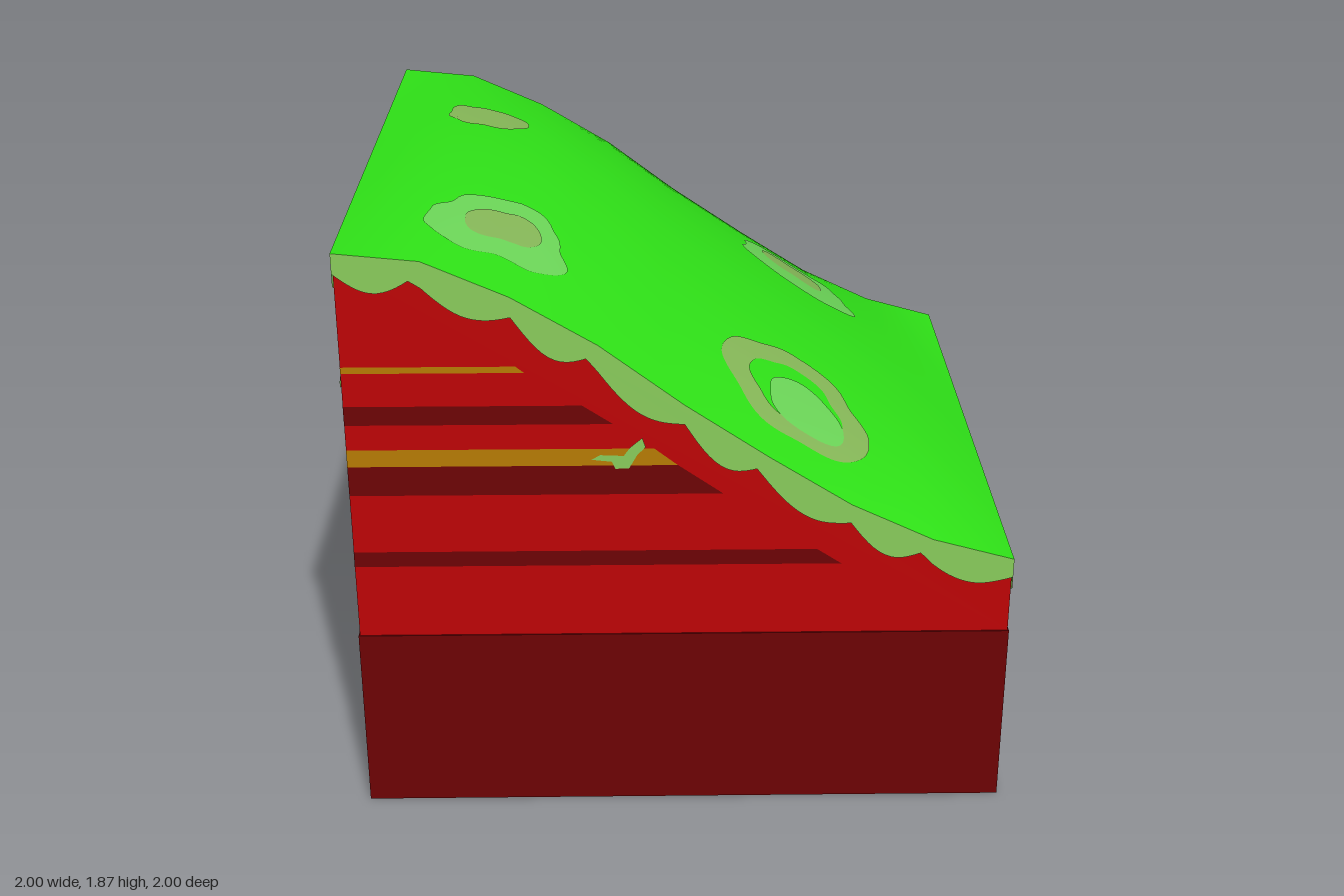
import * as THREE from 'three';

const mat = (name, color, side = THREE.FrontSide) => {
  const m = new THREE.MeshStandardMaterial({ color, side });
  m.name = name;
  return m;
};

// Heights every 0.25 along x: the rim at z = +-1, and the extra bulge at z = 0
const RIM = [1.845, 1.82, 1.71, 1.56, 1.37, 1.2, 1.04, 0.92, 0.85];
const BULGE = [0, 0.05, 0.1, 0.14, 0.17, 0.17, 0.16, 0.11, 0];
const sample = (list, x) => {
  const u = THREE.MathUtils.clamp((x + 1) * 4, 0, 8);
  const i = Math.min(7, Math.floor(u));
  return THREE.MathUtils.lerp(list[i], list[i + 1], u - i);
};
const rim = (x) => sample(RIM, x);
const height = (x, z) => rim(x) + sample(BULGE, x) * (1 - z * z);

// Smooth surface normal of the hill
function hillNormal(x, z) {
  const x0 = Math.max(-1, x - 0.2), x1 = Math.min(1, x + 0.2);
  const dx = (height(x1, z) - height(x0, z)) / (x1 - x0);
  const dz = -2 * z * sample(BULGE, x);
  return new THREE.Vector3(-dx, 1, -dz).normalize();
}

// Drapes a flat geometry (already lying in xz) over the hill
function drape(geo, lift) {
  const p = geo.attributes.position, n = geo.attributes.normal;
  for (let i = 0; i < p.count; i++) {
    const x = p.getX(i), z = p.getZ(i);
    p.setY(i, height(x, z) + lift);
    const v = hillNormal(x, z);
    n.setXYZ(i, v.x, v.y, v.z);
  }
  return geo;
}

export function createModel() {
  const root = new THREE.Group();
  root.name = 'hillBlock';
  const grass = mat('grass green', 0x2fe217);
  const red = mat('red earth', 0xbf0305);
  const dark = mat('dark red earth', 0x6e0204);
  const under = mat('underside red', 0xa80202);
  const fringe = mat('pale grass fringe', 0x8ace5c, THREE.DoubleSide);
  const gold = mat('gold seam', 0xb87c02);
  const pale = mat('pale patch', 0x6cd658);
  const brown = mat('olive patch', 0x86b858);

  const add = (name, geo, material) => {
    const m = new THREE.Mesh(geo, material);
    m.name = name;
    root.add(m);
    return m;
  };

  // Earth body: dark base with a redder underside, and red slope profile
  const H = 0.996;
  add('base', new THREE.BoxGeometry(2, 0.6, 2).translate(0, 0.3, 0),
    [dark, dark, dark, under, dark, dark]);
  const profile = new THREE.Shape();
  profile.moveTo(H, 0.6);
  for (let i = 8; i >= 0; i--) profile.lineTo((i / 4 - 1) * H, RIM[i] - 0.03);
  profile.lineTo(-H, 0.6);
  const body = new THREE.ExtrudeGeometry(profile, { depth: 2 * H, bevelEnabled: false });
  add('slopeBody', body.translate(0, 0, -H), red);

  // Grass surface
  const top = new THREE.PlaneGeometry(2, 2, 32, 32).rotateX(-Math.PI / 2);
  add('grassTop', drape(top, 0), grass);

  // Thin plate on a side: 0 front, 1 right, 2 back, 3 left
  const plate = (name, points, face, dist, material) => {
    const shape = new THREE.Shape(points.map(([s, y]) => new THREE.Vector2(s, y)));
    const m = add(name, new THREE.ShapeGeometry(shape).translate(0, 0, dist), material);
    m.rotation.y = face * Math.PI / 2;
  };

  // Scalloped fringe under the rim on all four sides
  const edges = [rim, () => RIM[8], (s) => rim(-s), () => RIM[0]];
  edges.forEach((edge, face) => {
    const upper = [], lower = [];
    for (let i = 0; i <= 112; i++) {
      const s = i / 56 - 1;
      const u = (s + 2) % 0.5;
      const t = u < 0.215 ? u / 0.215 : (u - 0.215) / 0.285;
      const slope = Math.abs(edge(Math.min(1, s + 0.1)) - edge(Math.max(-1, s - 0.1))) / 0.2;
      const d = face % 2 ? 0.1 : 0.062;
      const lobe = 0.046 + 0.025 * slope;
      upper.push([s, edge(s)]);
      lower.unshift([s, edge(s) - d - lobe * Math.sin(Math.PI * t)]);
    }
    plate('grassFringe', [...upper, ...lower], face, 1, fringe);
  });

  // Earth layers: bottom, top, end at bottom, end at top
  const layers = [
    [1.475, 1.495, -0.465, -0.49, gold],
    [1.31, 1.37, -0.21, -0.3, dark],
    [1.175, 1.23, -0.02, -0.09, gold],
    [1.08, 1.175, 0.115, -0.02, dark],
    [0.84, 0.89, 0.475, 0.4, dark],
  ];
  for (const [y0, y1, e0, e1, m] of layers) {
    const band = [[-H, y0], [e0, y0], [e1, y1], [-H, y1]];
    plate('frontLayer', band, 0, 0.998, m);
    plate('backLayer', band.map(([s, y]) => [-s, y]), 2, 0.998, m);
    plate('leftLayer', [[-H, y0], [H, y0], [H, y1], [-H, y1]], 3, 0.998, m);
  }

  // Small mossy flecks on the earth
  plate('frontFleck', [[-0.275, 1.195], [-0.25, 1.21], [-0.18, 1.207], [-0.16, 1.235], [-0.125, 1.265],
    [-0.115, 1.235], [-0.14, 1.21], [-0.165, 1.165], [-0.205, 1.165], [-0.215, 1.188]], 0, 0.9995, fringe);
  plate('backFleck', [[0.69, 0.97], [0.72, 1.0], [0.79, 1.005], [0.88, 0.965], [0.96, 0.965],
    [0.99, 0.945], [0.95, 0.92], [0.9, 0.945], [0.84, 0.93], [0.76, 0.955]], 2, 0.9995, fringe);
  plate('leftFleck', [[0.71, 1.455], [0.78, 1.48], [0.87, 1.465], [0.95, 1.475], [0.996, 1.45],
    [0.996, 1.43], [0.9, 1.43], [0.83, 1.415], [0.8, 1.445]], 3, 0.9995, fringe);

  // Lobed patches draped on the grass; radii in equal angle steps from +x towards +z
  const blob = (name, x, z, radii, lift, material, inner = 0) => {
    const geo = new THREE.RingGeometry(inner, 1, 72, 8).rotateX(-Math.PI / 2);
    const p = geo.attributes.position, n = radii.length;
    for (let i = 0; i < p.count; i++) {
      const a = Math.atan2(p.getZ(i), p.getX(i));
      const u = (a / (2 * Math.PI) + 1) * n, j = Math.floor(u);
      const f = THREE.MathUtils.smoothstep(u - j, 0, 1);
      const r = THREE.MathUtils.lerp(radii[j % n], radii[(j + 1) % n], f);
      p.setX(i, x + p.getX(i) * r);
      p.setZ(i, z + p.getZ(i) * r);
    }
    add(name, drape(geo, lift), material);
  };
  blob('smallPatch', -0.655, -0.375,
    [0.14, 0.12, 0.12, 0.11, 0.15, 0.14, 0.12, 0.13, 0.11, 0.125, 0.14, 0.15], 0.003, brown);
  blob('backPatch', 0.43, -0.5,
    [0.18, 0.24, 0.22, 0.21, 0.21, 0.22, 0.18, 0.2, 0.22, 0.2, 0.22, 0.18], 0.003, pale);
  blob('backPatchCore', 0.42, -0.53, [0.105, 0.12, 0.08, 0.1, 0.11, 0.12, 0.09, 0.11], 0.005, brown);
  blob('frontPatch', -0.55, 0.62,
    [0.18, 0.23, 0.22, 0.18, 0.23, 0.24, 0.2, 0.17, 0.2, 0.2, 0.225, 0.19], 0.003, pale);
  blob('frontPatchCore', -0.54, 0.61, [0.115, 0.11, 0.09, 0.125, 0.11, 0.1, 0.09, 0.12], 0.005, brown);
  blob('ringPatch', 0.355, 0.64,
    [0.23, 0.235, 0.235, 0.22, 0.245, 0.22, 0.235, 0.23, 0.215, 0.24, 0.25, 0.21], 0.003, brown, 0.63);
  blob('ringPatchCore', 0.38, 0.685, [0.12, 0.13, 0.12, 0.13, 0.11, 0.12, 0.13, 0.115], 0.005, pale);
  return root;
}
